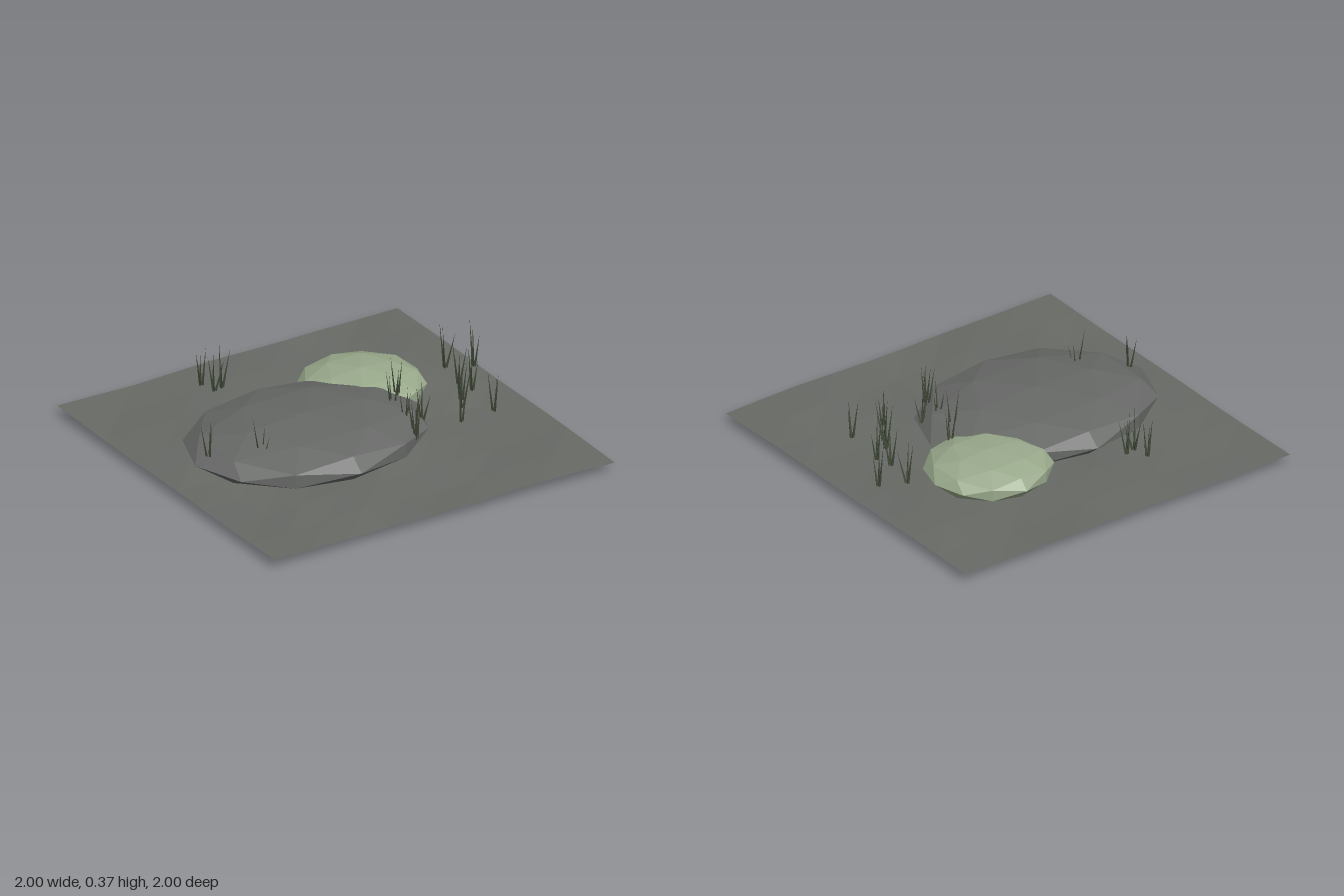
import * as THREE from 'three';

const mat = (name, color, side = THREE.FrontSide) => {
  const m = new THREE.MeshStandardMaterial({ color, flatShading: true, side });
  m.name = name;
  return m;
};

export function createModel() {
  const group = new THREE.Group();
  const groundGrey = mat('groundGrey', 0x676a65, THREE.DoubleSide);
  const stoneGrey = mat('stoneGrey', 0x676967);
  const mossGreen = mat('mossGreen', 0x9aaa8c);
  const grassGreen = mat('grassGreen', 0x414a38);

  let seed = 7;
  const rand = () => (seed = (seed * 16807) % 2147483647) / 2147483647;
  const add = (name, geometry, material, parent = group) => {
    const mesh = new THREE.Mesh(geometry, material);
    mesh.name = name;
    parent.add(mesh);
    return mesh;
  };

  // Gently uneven ground sheet
  const ground = new THREE.PlaneGeometry(2, 2, 9, 9).rotateX(-Math.PI / 2);
  const p = ground.attributes.position;
  for (let i = 0; i < p.count; i++) {
    const x = p.getX(i), z = p.getZ(i);
    const edge = Math.max(Math.abs(x), Math.abs(z)) > 0.99 ? 0.4 : 1;
    const wave = 0.009 * Math.sin(5 * (x + z)) + 0.007 * Math.sin(8 * x - 3 * z);
    p.setY(i, 0.05 + edge * (wave + 0.006 * (rand() - 0.5)));
  }
  add('ground', ground, groundGrey);

  // Flattened faceted boulders
  const boulder = (name, material, size, position) => {
    const g = new THREE.IcosahedronGeometry(1, 1).scale(...size);
    add(name, g, material).position.set(...position);
  };
  boulder('flatRock', stoneGrey, [0.65, 0.12, 0.515], [-0.2, 0.12, 0.035]);
  boulder('mossyRock', mossGreen, [0.33, 0.098, 0.32], [0.33, 0.113, -0.285]);

  // Tufts of thin leaning grass blades
  const tufts = [
    [-0.35, -0.69], [-0.33, -0.6], [-0.28, -0.61], [-0.77, 0.04], [-0.55, 0.18],
    [0.38, -0.03], [0.29, 0.07], [0.27, 0.22], [0.36, 0.23], [0.23, 0.38],
    [0.25, 0.34], [0.52, 0.34], [0.72, 0.33], [0.61, 0.21], [0.65, 0.14],
    [0.75, 0.08], [0.73, -0.01], [0.77, -0.2], [0.9, -0.14],
  ];
  const up = new THREE.Vector3(0, 1, 0);
  const blade = new THREE.ConeGeometry(0.008, 1, 3).translate(0, 0.5, 0);
  for (const [x, z] of tufts) {
    const tuft = new THREE.Group();
    tuft.name = 'grassTuft';
    tuft.position.set(x, 0.125, z);
    const turn = rand() * Math.PI * 2;
    for (let i = 0; i < 3; i++) {
      const a = turn + i * 2.1 + rand() * 0.6;
      const lean = 0.015 + 0.03 * rand();
      const tip = new THREE.Vector3(Math.cos(a) * lean, 0.15 + 0.1 * rand(), Math.sin(a) * lean);
      const mesh = add('grassBlade', blade, grassGreen, tuft);
      mesh.position.set(Math.cos(a) * 0.007, 0, Math.sin(a) * 0.007);
      mesh.scale.y = tip.length();
      mesh.quaternion.setFromUnitVectors(up, tip.normalize());
    }
    group.add(tuft);
  }
  return group;
}
